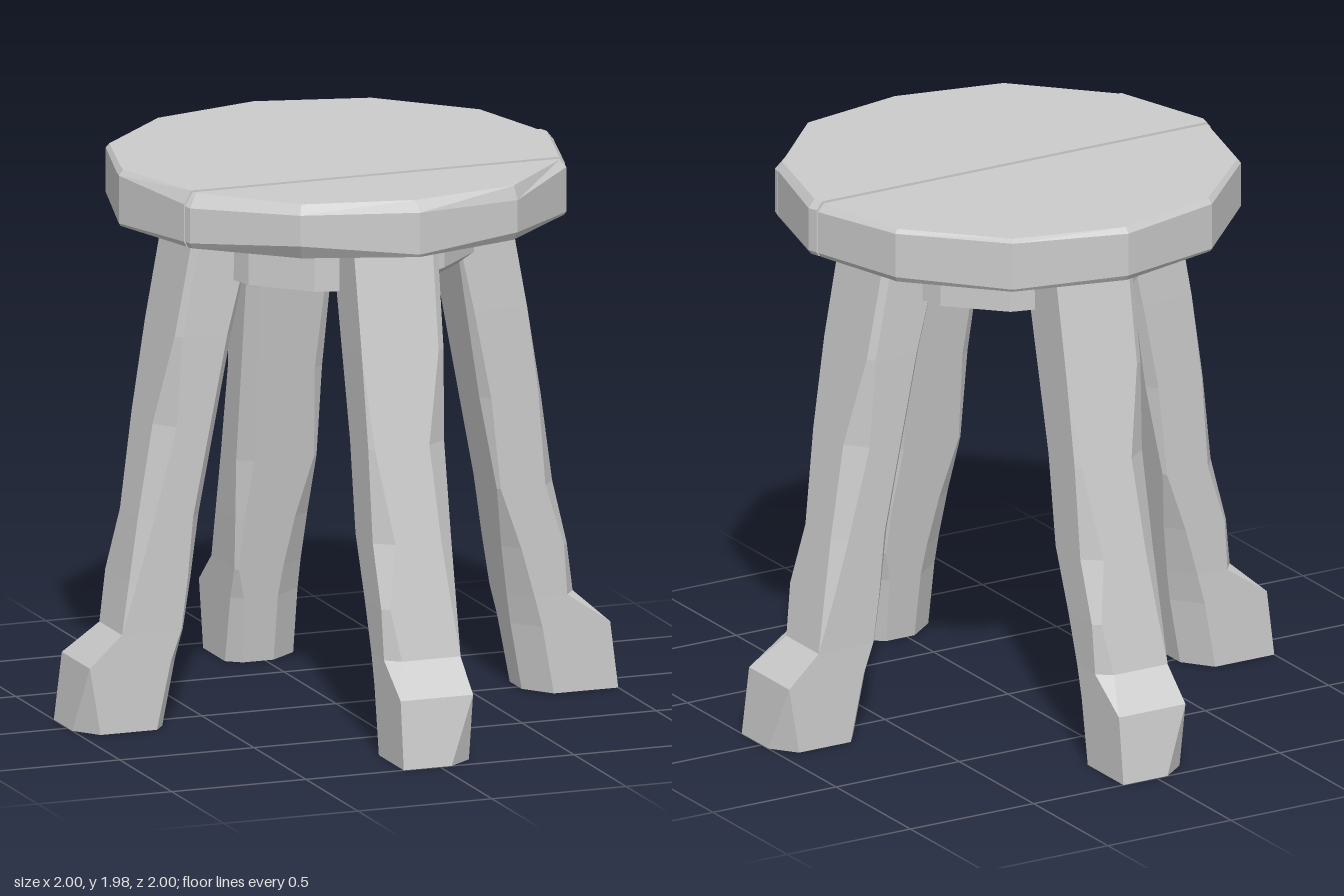
import * as THREE from 'three';

const material = new THREE.MeshStandardMaterial({ color: 0xcccccc, flatShading: true, side: THREE.DoubleSide });

// Skin a stack of closed rings (bottom to top, counter-clockwise from above) and cap both ends
function loft(name, rings) {
  const pos = [];
  const tri = (...pts) => pts.forEach((p) => pos.push(...p));
  const n = rings[0].length;
  const centre = (ring) => [0, 1, 2].map((k) => ring.reduce((s, p) => s + p[k], 0) / n);
  const low = rings[0], high = rings[rings.length - 1];
  const cLow = centre(low), cHigh = centre(high);
  for (let i = 0; i < n; i++) {
    const j = (i + 1) % n;
    for (let r = 0; r < rings.length - 1; r++) {
      const a = rings[r], b = rings[r + 1];
      tri(a[i], a[j], b[j]);
      tri(a[i], b[j], b[i]);
    }
    tri(cHigh, high[i], high[j]);
    tri(cLow, low[j], low[i]);
  }
  const geo = new THREE.BufferGeometry();
  geo.setAttribute('position', new THREE.Float32BufferAttribute(pos, 3));
  geo.computeVertexNormals();
  const mesh = new THREE.Mesh(geo, material);
  mesh.name = name;
  return mesh;
}

// Twelve-sided rim; each corner has its own hewn chamfer at the top and bottom
const topDrop = [0.035, 0.05, 0.025, 0.03, 0.015, 0.015, 0.02, 0.02, 0.015, 0.02, 0.05, 0.035];
const topInset = [0.06, 0.02, 0.03, 0.03, 0.015, 0.01, 0.02, 0.02, 0.015, 0.02, 0.04, 0.03];
const lowRise = [0.01, 0.03, 0.01, 0.015, 0.02, 0.01, 0.02, 0.01, 0.02, 0.01, 0.02, 0.05];
const rim = topDrop.map((drop, i) => {
  const a = (i * Math.PI) / 6;
  return { x: 0.81 * Math.sin(a), z: 0.81 * Math.cos(a), drop, inset: topInset[i], rise: lowRise[i], cut: false };
});

// Keep the side of an outline where sign * (z - at) > 0
function clip(outline, at, sign) {
  const out = [];
  outline.forEach((p, i) => {
    const q = outline[(i + 1) % outline.length];
    const dp = sign * (p.z - at), dq = sign * (q.z - at);
    if (dp >= 0) out.push(p);
    if (dp * dq < 0) {
      const t = dp / (dp - dq);
      const mix = (k) => p[k] + (q[k] - p[k]) * t;
      out.push({ x: mix('x'), z: at, drop: mix('drop'), inset: mix('inset'), rise: mix('rise'), cut: true });
    }
  });
  return out;
}

function plank(name, zMin, zMax, top) {
  const outline = clip(clip(rim, zMin, 1), zMax, -1);
  const ring = (height, inset) => outline.map((p) => {
    const s = 1 - inset(p);
    return [p.x * s, height(p), p.cut ? p.z : p.z * s];
  });
  return loft(name, [
    ring(() => 1.78, (p) => p.rise * 0.8),
    ring((p) => 1.78 + p.rise, () => 0),
    ring((p) => top - p.drop, () => 0),
    ring(() => top, (p) => p.inset),
  ]);
}

// Leg sections: height, outer reach, half width, then chamfers
// (outer left, outer right, inner right, inner left)
const legSections = [
  [0, 1, 0.135, 0, 0.07, 0.04, 0.08],
  [0.24, 0.97, 0.135, 0, 0, 0.03, 0.08],
  [0.35, 0.85, 0.135, 0.04, 0, 0.01, 0.07],
  [0.53, 0.816, 0.14, 0.02, 0.02, 0.02, 0.05],
  [0.75, 0.775, 0.144, 0.05, 0.04, 0.04, 0.01],
  [1.08, 0.712, 0.15, 0.015, 0.06, 0.035, 0.03],
  [1.4, 0.652, 0.156, 0, 0.02, 0.03, 0.02],
  [1.8, 0.577, 0.16, 0, 0.02, 0, 0],
];

function leg(name, angle) {
  const rings = legSections.map(([y, outer, w, ol, or, ir, il]) => {
    const inner = 0.68 - 0.175 * y;
    const k = 1.3; // chamfers run a little wider across the leg than along it
    return [
      [-w, outer - ol], [-w + ol * k, outer], [w - or * k, outer], [w, outer - or],
      [w, inner + ir], [w - ir * k, inner], [-w + il * k, inner], [-w, inner + il],
    ].map(([x, z]) => [x, y, z]);
  });
  const mesh = loft(name, rings);
  mesh.rotation.y = angle;
  return mesh;
}

export function createModel() {
  const group = new THREE.Group();
  group.name = 'stool';

  // Seat of three planks with narrow gaps
  group.add(
    plank('backPlank', -1, -0.045, 1.975),
    plank('middlePlank', -0.037, 0.37, 1.98),
    plank('frontPlank', 0.378, 1, 1.975),
  );

  // Hidden board that closes the gaps
  const board = new THREE.Mesh(new THREE.CylinderGeometry(0.72, 0.72, 0.13, 12), material);
  board.name = 'seatCore';
  board.position.y = 1.85;
  group.add(board);

  // Hub under the seat, with one hewn corner at the front
  const hubRing = (y, lift, inset) => Array.from({ length: 12 }, (_, i) => {
    const a = (i * Math.PI) / 6;
    const hewn = i === 1 || i === 2;
    const r = 0.485 - (hewn ? inset : 0);
    return [r * Math.sin(a), y + (hewn ? lift : 0), r * Math.cos(a)];
  });
  group.add(loft('hub', [hubRing(1.59, 0, 0.06), hubRing(1.59, 0.045, 0), hubRing(1.79, 0, 0)]));

  // Four splayed legs
  ['frontLeg', 'leftLeg', 'backLeg', 'rightLeg'].forEach((name, i) => group.add(leg(name, (i * Math.PI) / 2)));
  return group;
}
